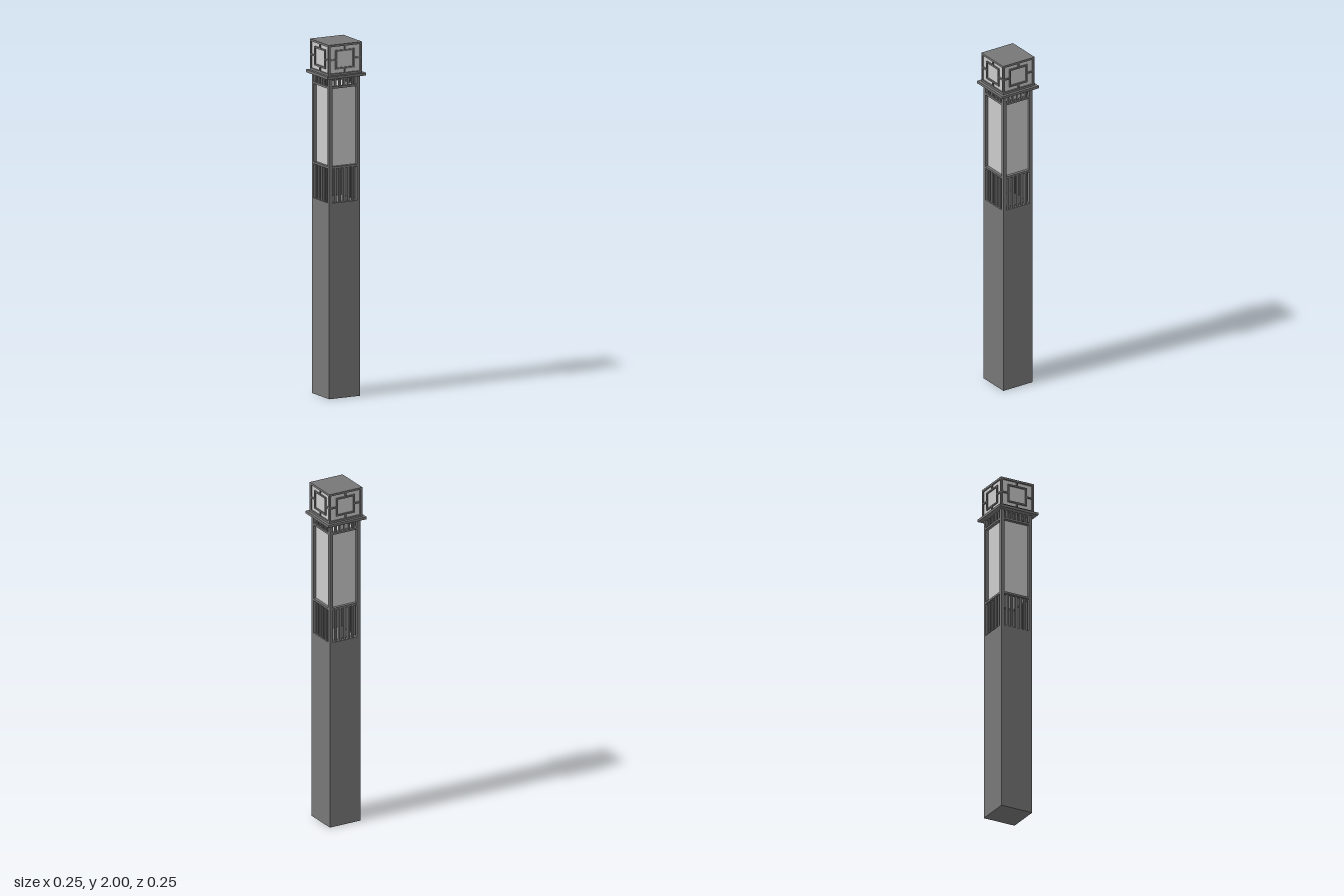
import * as THREE from 'three';

export function createModel() {
  const model = new THREE.Group();
  const metal = new THREE.MeshStandardMaterial({ color: 0x777777 });
  const glass = new THREE.MeshStandardMaterial({ color: 0xcccccc });

  // Box spanning y0..y1, centred on x and z
  function box(parent, name, w, y0, y1, d, x = 0, z = 0, material = metal) {
    const mesh = new THREE.Mesh(new THREE.BoxGeometry(w, y1 - y0, d), material);
    mesh.position.set(x, (y0 + y1) / 2, z);
    mesh.name = name;
    parent.add(mesh);
  }

  const half = 0.098, post = 0.02, open = half - post;
  const headHalf = 0.106, headBottom = 1.825, headMid = 1.9125;

  // Solid shaft, collar and the two lit cores
  box(model, 'shaft', half * 2, 0, 1.105, half * 2);
  box(model, 'collar', 0.245, 1.81, headBottom, 0.245);
  box(model, 'lightPanelCore', 0.162, 1.305, 1.755, 0.162, 0, 0, glass);
  box(model, 'headGlass', 0.196, headBottom, 1.99, 0.196, 0, 0, glass);
  box(model, 'headRoof', headHalf * 2, 1.988, 2, headHalf * 2);
  box(model, 'headBase', headHalf * 2, headBottom, 1.837, headHalf * 2);

  // Corner posts of the lantern section and of the head
  for (const sx of [-1, 1]) {
    for (const sz of [-1, 1]) {
      const c = half - post / 2, h = headHalf - 0.006;
      box(model, 'cornerPost', post, 1.105, 1.81, post, sx * c, sz * c);
      box(model, 'headCorner', 0.012, 1.837, 1.988, 0.012, sx * h, sz * h);
    }
  }

  // One side: rails, slats and head lattice, repeated on all four faces
  for (let i = 0; i < 4; i++) {
    const side = new THREE.Group();
    side.name = 'side';
    side.rotation.y = i * Math.PI / 2;
    model.add(side);

    box(side, 'lowerRail', open * 2, 1.298, 1.31, post, 0, half - post / 2);
    box(side, 'upperRail', open * 2, 1.75, 1.762, post, 0, half - post / 2);

    for (let k = -2; k <= 2; k++) {
      box(side, 'lowerSlat', 0.013, 1.105, 1.298, 0.013, k * 0.0275, 0.087);
      box(side, 'upperSlat', 0.013, 1.762, 1.81, 0.013, k * 0.0275, 0.087);
    }

    // Square lattice with a short tie to the middle of each frame edge
    const s = 0.06, bar = 0.009, z = 0.1005;
    for (const d of [-1, 1]) {
      const y = headMid + d * (s - 0.006 - bar / 2);
      box(side, 'latticeRail', s * 2, y - bar / 2, y + bar / 2, bar, 0, z);
      box(side, 'latticeStile', bar, headMid - 0.045, headMid + 0.045, bar, d * (s - bar / 2), z);
      box(side, 'sideTie', 0.034, headMid - bar / 2, headMid + bar / 2, bar, d * 0.077, z);
      const t = headMid + d * 0.0648;
      box(side, 'verticalTie', bar, t - 0.0108, t + 0.0108, bar, 0, z);
    }
  }
  return model;
}
